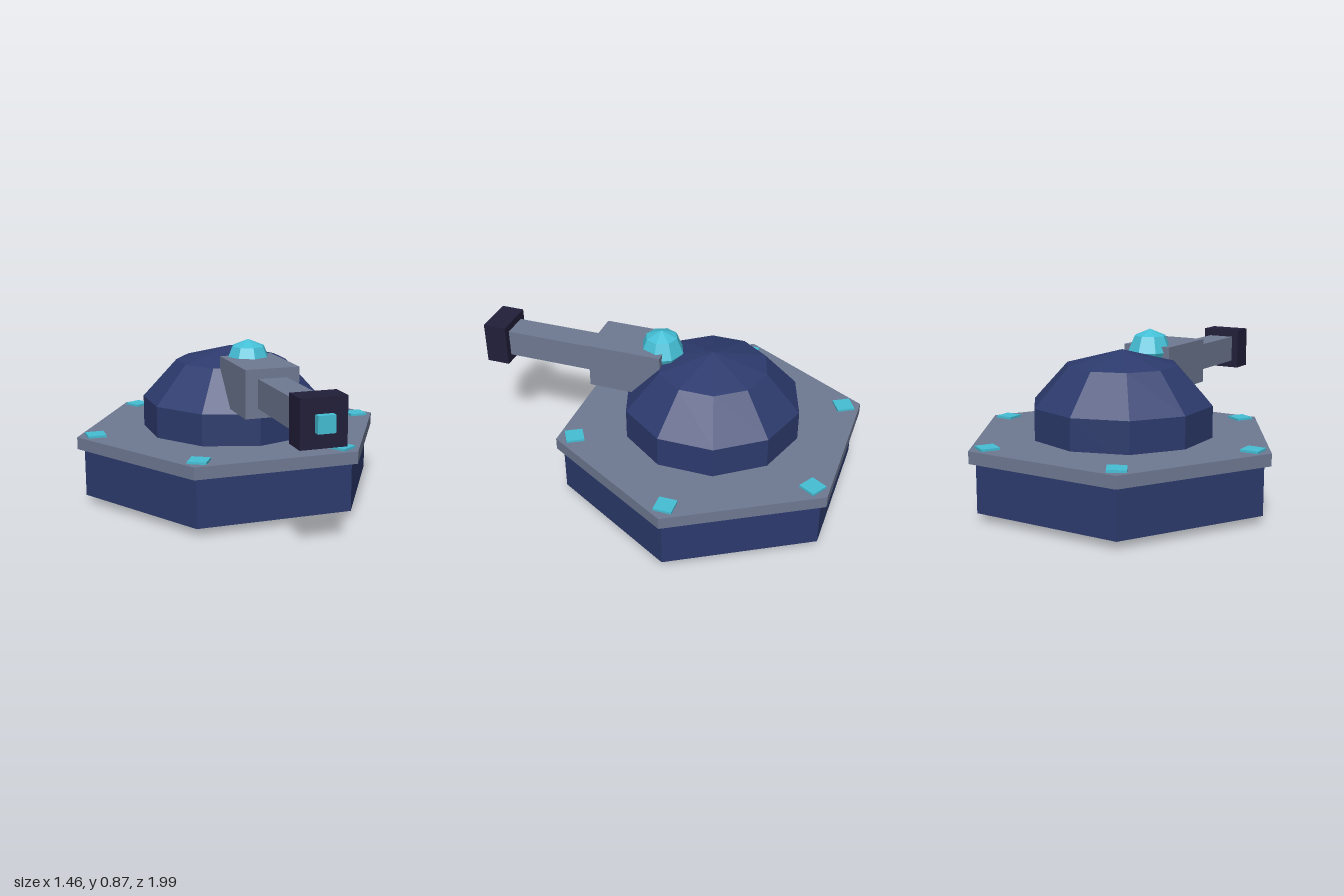
import * as THREE from 'three';

const paint = (name, color) => {
  const m = new THREE.MeshStandardMaterial({ color, flatShading: true });
  m.name = name;
  return m;
};

export function createModel() {
  const navy = paint('navy armour', 0x2d3b6e);
  const grey = paint('blue grey metal', 0x6f7993);
  const dark = paint('dark metal', 0x221f3a);
  const cyan = paint('cyan glow', 0x45bfd6);

  const model = new THREE.Group();
  model.name = 'turret';
  const body = new THREE.Group();
  body.name = 'body';
  body.position.z = -0.16;
  model.add(body);

  const add = (parent, name, geometry, material, x, y, z) => {
    const mesh = new THREE.Mesh(geometry, material);
    mesh.name = name;
    mesh.position.set(x, y, z);
    parent.add(mesh);
    return mesh;
  };

  // Hexagonal base and its overhanging deck plate
  const hexagon = (name, radius, y0, y1, material) =>
    add(body, name, new THREE.CylinderGeometry(radius, radius, y1 - y0, 6), material, 0, (y0 + y1) / 2, 0);
  hexagon('base', 0.803, 0.045, 0.298, navy);
  hexagon('deckPlate', 0.84, 0.298, 0.361, grey);

  // One marker light near each corner of the deck
  for (let i = 0; i < 6; i++) {
    const a = (i * Math.PI) / 3;
    const light = add(body, 'deckLight', new THREE.BoxGeometry(0.095, 0.03, 0.095), cyan,
      0.742 * Math.sin(a), 0.358, 0.742 * Math.cos(a));
    light.rotation.y = a;
  }

  // Rotating head, turned towards the model's right
  const head = new THREE.Group();
  head.name = 'head';
  head.rotation.y = -Math.PI / 6;
  body.add(head);

  // Faceted dome: a flattened ball that just pokes through the base
  const dome = new THREE.SphereGeometry(0.497, 10, 5).rotateY(Math.PI / 10).scale(1, 0.8, 1);
  add(head, 'dome', dome, navy, 0, 0.402, 0);

  // Gun parts along the head's own z axis
  const gunPart = (name, width, height, z0, z1, material) =>
    add(head, name, new THREE.BoxGeometry(width, height, z1 - z0), material, 0, 0.668, (z0 + z1) / 2);
  gunPart('gunMount', 0.275, 0.24, 0.246, 0.641, grey);
  gunPart('barrel', 0.145, 0.145, 0.6, 1.18, grey);
  gunPart('muzzle', 0.22, 0.225, 1.141, 1.267, dark);
  gunPart('muzzleLens', 0.083, 0.08, 1.24, 1.3, cyan);

  // Sensor ball on top of the gun mount
  add(head, 'sensor', new THREE.SphereGeometry(0.12, 8, 4), cyan, 0, 0.755, 0.282);

  return model;
}
